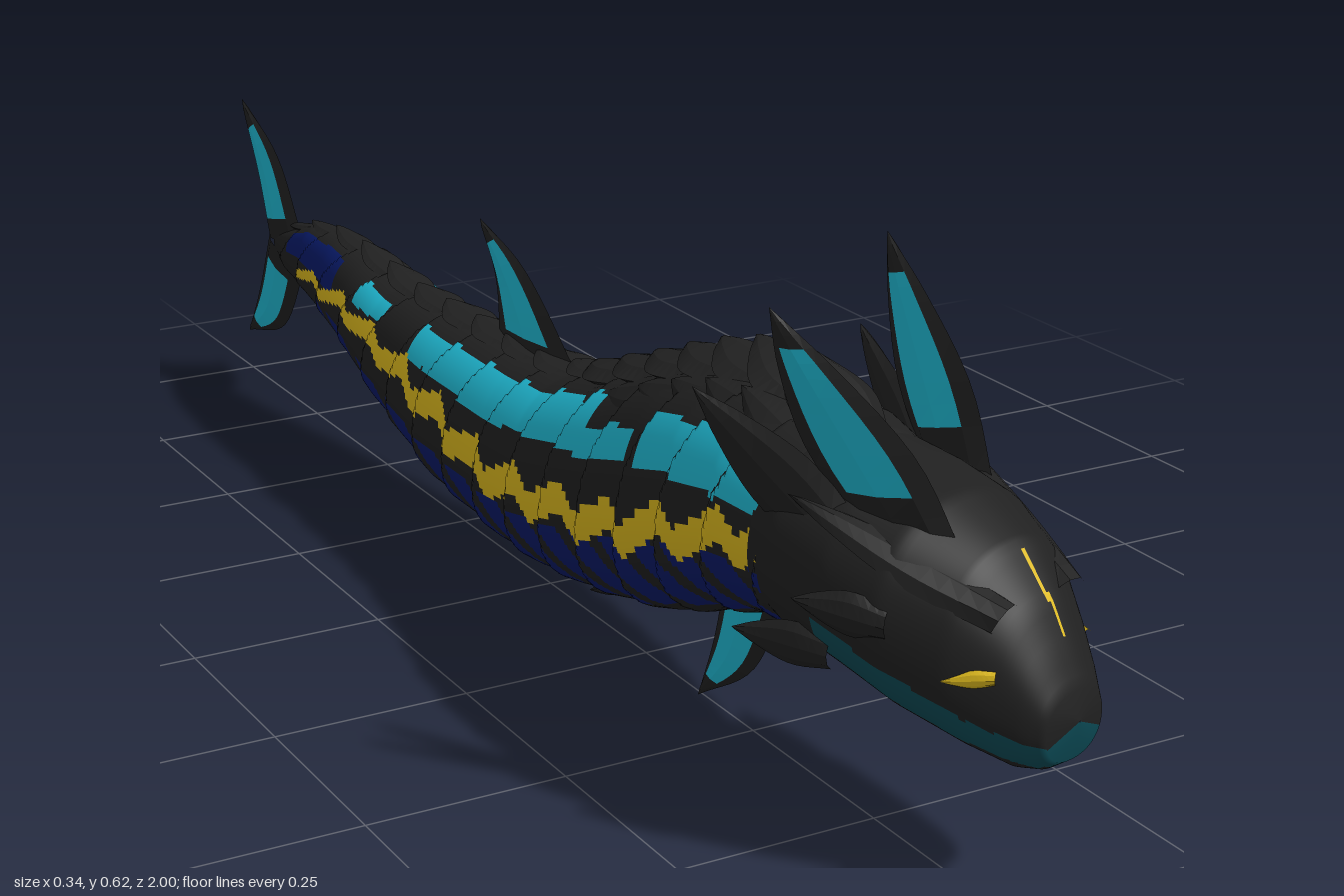
import * as THREE from 'three';

const V = (x, y, z) => new THREE.Vector3(x, y, z);
const mat = (name, color) => {
  const m = new THREE.MeshStandardMaterial({ color });
  m.name = name;
  return m;
};

// Piecewise linear lookup in rows [key, value, value...] with falling keys
function look(rows, k, col = 1) {
  if (k >= rows[0][0]) return rows[0][col];
  for (let i = 1; i < rows.length; i++) {
    const a = rows[i - 1], b = rows[i];
    if (k >= b[0]) return a[col] + (b[col] - a[col]) * (a[0] - k) / (a[0] - b[0]);
  }
  return rows[rows.length - 1][col];
}
const saw = (t) => t - Math.floor(t);

// body rows: z, top, bottom, half width
const BODY = [
  [0.80, 0.36, 0.27, 0.04], [0.77, 0.41, 0.23, 0.10], [0.70, 0.44, 0.215, 0.122],
  [0.60, 0.455, 0.195, 0.128], [0.50, 0.445, 0.16, 0.128], [0.40, 0.42, 0.12, 0.125],
  [0.30, 0.385, 0.095, 0.12], [0.20, 0.355, 0.075, 0.117], [0.10, 0.325, 0.062, 0.112],
  [0.00, 0.315, 0.058, 0.106], [-0.20, 0.305, 0.07, 0.095], [-0.40, 0.30, 0.12, 0.077],
  [-0.50, 0.312, 0.155, 0.067], [-0.60, 0.318, 0.18, 0.055], [-0.70, 0.312, 0.20, 0.043],
  [-0.80, 0.28, 0.212, 0.026], [-0.86, 0.262, 0.232, 0.012], [-0.865, 0.247, 0.246, 0.001],
];
// head rows: distance forward, top, bottom, half width
const HEAD = [
  [0.286, 0.205, 0.204, 0.001], [0.282, 0.232, 0.162, 0.045], [0.26, 0.275, 0.146, 0.062],
  [0.235, 0.318, 0.14, 0.077], [0.19, 0.372, 0.15, 0.105], [0.12, 0.408, 0.172, 0.134],
  [0.05, 0.425, 0.195, 0.138], [-0.03, 0.44, 0.21, 0.13], [-0.10, 0.42, 0.23, 0.10],
  [-0.13, 0.33, 0.329, 0.001],
];
// marking heights along the body and the lip
const YELLOW = [[0.73, 0.345], [0.6, 0.305], [0.5, 0.28], [0.4, 0.243], [0.3, 0.22], [0.1, 0.192], [0, 0.187], [-0.1, 0.205], [-0.3, 0.23], [-0.5, 0.254], [-0.72, 0.248]];
const CYAN = [[0.74, 0.365], [0.5, 0.348], [0.4, 0.325], [0.3, 0.295], [0.2, 0.28], [0, 0.247], [-0.2, 0.252], [-0.46, 0.268]];
const LIP = [[0.27, 0.17], [0.22, 0.185], [0.15, 0.215], [0.08, 0.245], [0.03, 0.26]];

// Closed loft of rings; paint picks a colour number for each quad
function loft(name, nu, nv, point, paint, mats, flat) {
  const pos = [], lists = mats.map(() => []);
  for (let i = 0; i <= nu; i++) for (let j = 0; j < nv; j++) pos.push(...point(i / nu, j).toArray());
  for (let i = 0; i < nu; i++) for (let j = 0; j < nv; j++) {
    const a = i * nv + j, c = i * nv + (j + 1) % nv, b = a + nv, d = c + nv;
    lists[paint((i + 0.5) / nu, j, point((i + 0.5) / nu, j + 0.5))].push(a, b, c, b, d, c);
  }
  let g = new THREE.BufferGeometry();
  g.setAttribute('position', new THREE.Float32BufferAttribute(pos, 3));
  g.setIndex(lists.flat());
  if (flat) g = g.toNonIndexed();
  g.computeVertexNormals();
  let start = 0;
  lists.forEach((l, k) => {
    if (l.length) g.addGroup(start, l.length, k);
    start += l.length;
  });
  const m = new THREE.Mesh(g, mats);
  m.name = name;
  return m;
}

// Ring point for a row table, with optional swelling
function ring(rows, k, angle, x0, swell = 1) {
  const top = look(rows, k, 1), bot = look(rows, k, 2), w = look(rows, k, 3);
  const c = Math.cos(angle), s = Math.sin(angle);
  const soft = (t) => Math.sign(t) * Math.pow(Math.abs(t), 0.89);
  return V(x0 + soft(c) * w * swell, (top + bot) / 2 + soft(s) * (top - bot) / 2 * swell, k);
}

// Thin fin between a leading and a trailing edge, coloured in the middle
const EDGE = [1, 0.62, 0, -0.62, -1, -0.62, 0, 0.62];
const BULGE = [0, 0.7, 1, 0.7, 0, -0.7, -1, -0.7];
function fin(name, front, back, thick, mats, inset = 1, from = 0.12, to = 0.82) {
  const f = new THREE.CatmullRomCurve3(front), b = new THREE.CatmullRomCurve3(back);
  const w = f.getPoint(0.3).sub(b.getPoint(0.3));
  const up = f.getPoint(1).sub(f.getPoint(0).add(b.getPoint(0)).multiplyScalar(0.5));
  const n = w.cross(up).normalize();
  const point = (s, j) => {
    const k = Math.floor(j) % 8, p = f.getPoint(s), q = b.getPoint(s);
    const mid = p.clone().add(q).multiplyScalar(0.5);
    return mid.addScaledVector(p.sub(q), EDGE[k] / 2).addScaledVector(n, BULGE[k] * thick * Math.sqrt(1 - s));
  };
  const paint = (s, j) => (s > from && s < to && [1, 2, 5, 6].includes(j) ? inset : 0);
  return loft(name, 14, 8, point, paint, mats, true);
}

// Leaf-shaped plate from a root to a tip
function leaf(name, root, tip, across, width, thick, mats, inset = 0) {
  const w = across.clone().normalize().multiplyScalar(width / 2);
  const at = (t, k) => root.clone().lerp(tip, t).addScaledVector(w, k);
  const edge = (s) => [at(0, 0.75 * s), at(0.4, s), at(0.75, 0.55 * s), tip];
  return fin(name, edge(1), edge(-1), thick, mats, inset, 0.2, 0.76);
}

export function createModel() {
  const model = new THREE.Group();
  model.name = 'seaSerpent';
  const mats = [
    mat('charcoal', 0x202020), mat('cyan', 0x20bad4), mat('yellow', 0xdfbb1e),
    mat('navy', 0x081a68), mat('teal', 0x0c4a55),
  ];

  // Body with overlapping scale bands and side markings
  const NV = 110, zAt = (u) => 0.8 - 1.665 * u;
  const scale = (z, a) => saw(-z / 0.1 + 0.5 * Math.sin(a));
  const bodyPoint = (u, j) => {
    const z = zAt(u), a = j / NV * Math.PI * 2;
    return ring(BODY, z, a, -0.005, 0.975 + 0.05 * scale(z, a));
  };
  const bodyPaint = (u, j, p) => {
    const z = p.z, y = p.y, top = look(BODY, z, 1), bot = look(BODY, z, 2);
    const v = (y - bot) / (top - bot), side = Math.abs(p.x + 0.005) / look(BODY, z, 3);
    const gap = scale(z, (j + 0.5) / NV * Math.PI * 2);
    // lightning band
    const t = saw(-z / 0.125), tooth = t < 0.75 ? 0.5 - t / 0.75 : (t - 0.75) / 0.25 - 0.5;
    const bolt = look(YELLOW, z) + tooth * (z > -0.3 ? 0.034 : 0.018);
    if (z < 0.74 && z > -0.71 && Math.abs(y - bolt) < 0.021 - 0.02 * Math.max(0, -z)) return 2;
    // upper patches
    const span = (z < 0.74 && z > 0.43) || (z < 0.40 && z > -0.25) || (z < -0.37 && z > -0.46);
    const inner = z > 0.42 ? 0.74 : z > 0.28 ? 0.82 : 0.54;
    if (span && y > look(CYAN, z) && side > inner && gap > 0.05) return 1;
    // lower patches
    if (z < 0.74 && z > -0.62 && v < 0.36 && side > 0.52 && saw((z + 0.9 * y) / 0.1) > 0.35) return 3;
    if (z < -0.54 && z > -0.77 && v > 0.6 && v < 0.93) return 3;
    return 0;
  };
  model.add(loft('body', 380, NV, bodyPoint, bodyPaint, mats));

  // Head, turned to its left
  const head = new THREE.Group();
  head.name = 'head';
  head.position.set(0.0, 0, 0.722);
  head.rotation.y = 0.27;
  const headPoint = (u, j) => ring(HEAD, 0.286 - 0.416 * u, j / 128 * Math.PI * 2, 0);
  const headPaint = (u, j, p) => {
    if (p.z > 0.03 && Math.abs(p.y - look(LIP, p.z)) < (p.z > 0.2 ? 0.017 : 0.022)) return 4;
    if (p.z > 0.1 && p.y > 0.29 && p.y < 0.365 && Math.abs(p.x - 0.01) < 0.0025) return 2;
    return 0;
  };
  head.add(loft('skull', 64, 128, headPoint, headPaint, mats));
  for (const s of [-1, 1]) {
    head.add(leaf('brow', V(s * 0.055, 0.315, 0.225), V(s * 0.135, 0.41, 0.0), V(1, -0.4 * s, 0), 0.06, 0.018, mats));
    head.add(leaf('eye', V(s * 0.077, 0.26, 0.235), V(s * 0.106, 0.25, 0.185), V(0, 1, 0), 0.02, 0.006, [mats[2], mats[2]]));
    head.add(leaf('cheekSpike', V(s * 0.122, 0.30, 0.13), V(s * 0.16, 0.31, 0.03), V(0, 1, 0), 0.05, 0.014, mats));
    head.add(leaf('jawSpike', V(s * 0.115, 0.24, 0.05), V(s * 0.14, 0.24, -0.07), V(0, 1, 0), 0.05, 0.012, mats));
  }
  model.add(head);

  // Head fins: root, tip, width direction, width, inset colour
  const headFins = [
    ['rightHorn', V(-0.022, 0.355, 0.85), V(-0.15, 0.612, 0.745), V(0.5, 0.1, 0.85), 0.125, 1],
    ['leftHorn', V(0.118, 0.355, 0.735), V(0.108, 0.615, 0.58), V(0.08, 0.3, 1), 0.125, 1],
    ['rightEarFin', V(-0.075, 0.35, 0.79), V(-0.17, 0.495, 0.63), V(0.3, 0.6, 0.6), 0.09, 0],
    ['leftEarFin', V(0.115, 0.35, 0.66), V(0.125, 0.485, 0.51), V(0, 0.7, 0.7), 0.07, 0],
  ];
  for (const [name, root, tip, across, width, inset] of headFins) {
    model.add(leaf(name, root, tip, across, width, 0.016, mats, inset));
  }

  // Overlapping plates along the back
  for (let i = 0; i < 7; i++) {
    const z = 0.70 - i * 0.075, y = look(BODY, z) - 0.01;
    const lift = 0.05 - i * 0.007, ty = look(BODY, z - 0.12) + lift;
    model.add(leaf('backPlate', V(-0.005, y, z), V(-0.005, ty, z - 0.13), V(1, 0, 0), 0.11, 0.02, mats));
    for (const s of [-1, 1]) {
      model.add(leaf('shoulderPlate', V(s * 0.05, y - 0.02, z - 0.02), V(s * 0.065, ty - 0.045, z - 0.14), V(1, -0.6 * s, 0), 0.075, 0.014, mats));
    }
  }
  for (let z = 0.18; z > -0.72; z -= 0.09) {
    const y = look(BODY, z) - 0.006, wide = look(BODY, z, 3) * 0.75;
    model.add(leaf('ridgePlate', V(-0.005, y, z), V(-0.005, look(BODY, z - 0.11) + 0.01, z - 0.11), V(1, 0, 0), wide, 0.008, mats));
  }

  // Single fins on the centre line, given as z, y edges
  const flat = (pts) => pts.map(([z, y]) => V(-0.006, y, z));
  const centreFins = [
    ['dorsalFin', [[0.10, 0.30], [-0.06, 0.415], [-0.185, 0.452]], [[-0.13, 0.30], [-0.14, 0.38], [-0.185, 0.452]], 0.013],
    ['ventralFin', [[0.58, 0.215], [0.51, 0.085], [0.385, 0.0]], [[0.44, 0.17], [0.42, 0.09], [0.385, 0.0]], 0.013],
    ['upperTailFin', [[-0.77, 0.265], [-0.86, 0.378], [-0.995, 0.44]], [[-0.9, 0.245], [-0.938, 0.335], [-0.995, 0.44]], 0.014],
    ['lowerTailFin', [[-0.77, 0.225], [-0.85, 0.115], [-0.995, 0.065]], [[-0.9, 0.25], [-0.945, 0.15], [-0.995, 0.065]], 0.014],
  ];
  for (const [name, front, back, thick] of centreFins) model.add(fin(name, flat(front), flat(back), thick, mats));
  model.add(leaf('bellySpike', V(-0.005, 0.083, 0.22), V(-0.005, 0.035, 0.115), V(0, 1, 0), 0.025, 0.01, mats));

  return model;
}
